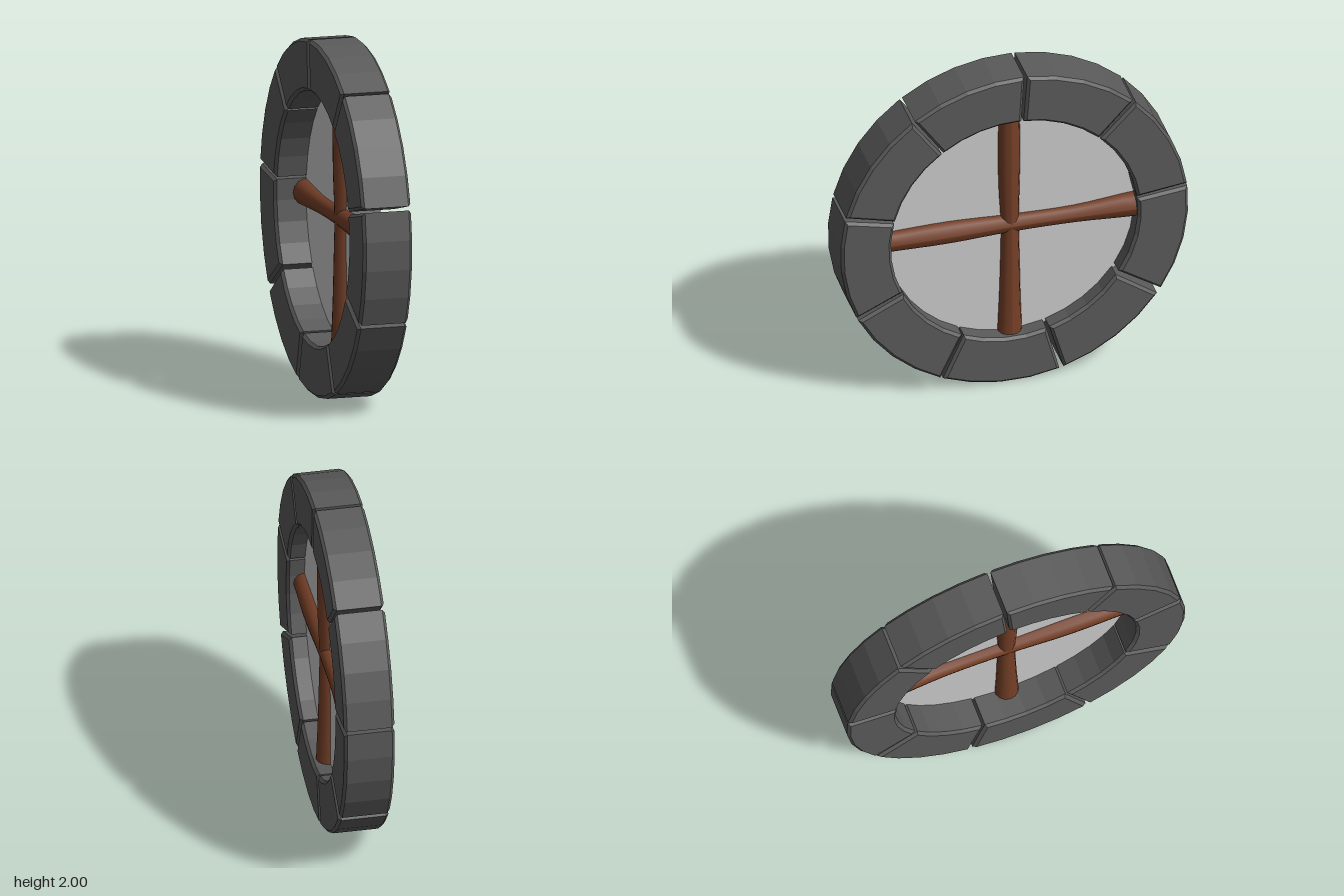
import * as THREE from 'three';

const OUTER = 1, INNER = 0.71, HALF_WIDTH = 0.142, BEVEL = 0.016;
const stone = new THREE.MeshStandardMaterial({ color: 0x5a5a5a });
const wood = new THREE.MeshStandardMaterial({ color: 0x743f27 });
const pane = new THREE.MeshStandardMaterial({ color: 0xcccccc, side: THREE.DoubleSide });

// One chamfered stone of the ring, spanning two angles in degrees
function ringBlock(from, to) {
  const steps = 4, pts = [];
  const add = (r, t) => {
    const a = THREE.MathUtils.degToRad(from + (to - from) * t);
    pts.push(new THREE.Vector2(Math.cos(a) * r, Math.sin(a) * r));
  };
  for (let i = 0; i <= steps; i++) add(OUTER, i / steps);
  for (let i = steps; i >= 0; i--) add(INNER, i / steps);
  const depth = 2 * (HALF_WIDTH - BEVEL);
  const geo = new THREE.ExtrudeGeometry(new THREE.Shape(pts), {
    depth, bevelEnabled: true, bevelThickness: BEVEL, bevelSize: BEVEL,
    bevelOffset: -BEVEL, bevelSegments: 1,
  });
  geo.translate(0, 0, -depth / 2);
  return new THREE.Mesh(geo, stone);
}

// Slightly uneven wooden pole along y; radii and sideways shifts run bottom to top
function pole(radii, shifts) {
  const half = 0.73;
  const curve = (vals) => new THREE.SplineCurve(vals.map((v, i) => new THREE.Vector2(i, v)));
  const rCurve = curve(radii), sCurve = curve(shifts);
  const geo = new THREE.CylinderGeometry(1, 1, 2 * half, 14, 16);
  const p = geo.attributes.position;
  for (let i = 0; i < p.count; i++) {
    const t = THREE.MathUtils.clamp((p.getY(i) + half) / (2 * half), 0, 1);
    const r = rCurve.getPoint(t).y;
    p.setX(i, p.getX(i) * r + sCurve.getPoint(t).y);
    p.setZ(i, p.getZ(i) * r);
  }
  geo.computeVertexNormals();
  return new THREE.Mesh(geo, wood);
}

export function createModel() {
  const model = new THREE.Group();
  model.name = 'roundWindow';

  // Everything is laid out in the XY plane, then turned to face sideways
  const frame = new THREE.Group();
  frame.name = 'windowFrame';
  frame.rotation.y = Math.PI / 2;
  frame.position.y = 1;
  model.add(frame);

  // Stone ring with slightly irregular joints
  const spans = [
    [7.3, 45.8], [47, 85.7], [86.8, 125], [126, 165.5], [166.8, 204.9],
    [206.2, 244.8], [245.8, 285], [286.4, 325.1], [327.3, 366.2],
  ];
  spans.forEach(([from, to], i) => {
    const block = ringBlock(from, to);
    block.name = `stoneBlock${i + 1}`;
    frame.add(block);
  });

  // Pane and poles sit a little off the middle of the ring's depth
  const glazing = new THREE.Group();
  glazing.name = 'glazing';
  glazing.position.z = 0.042;
  frame.add(glazing);

  const disc = new THREE.Mesh(new THREE.CircleGeometry(0.73, 48), pane);
  disc.name = 'pane';
  glazing.add(disc);

  const upright = pole(
    [0.07, 0.061, 0.055, 0.051, 0.06, 0.063, 0.06],
    [-0.005, -0.004, -0.003, -0.004, -0.008, -0.008, -0.008],
  );
  upright.name = 'uprightPole';
  glazing.add(upright);

  const crossbar = pole([0.061, 0.067, 0.054, 0.053, 0.077], [0.003, 0.002, 0.006, 0.011, 0.004]);
  crossbar.name = 'crossPole';
  crossbar.rotation.z = -Math.PI / 2;
  glazing.add(crossbar);

  return model;
}
